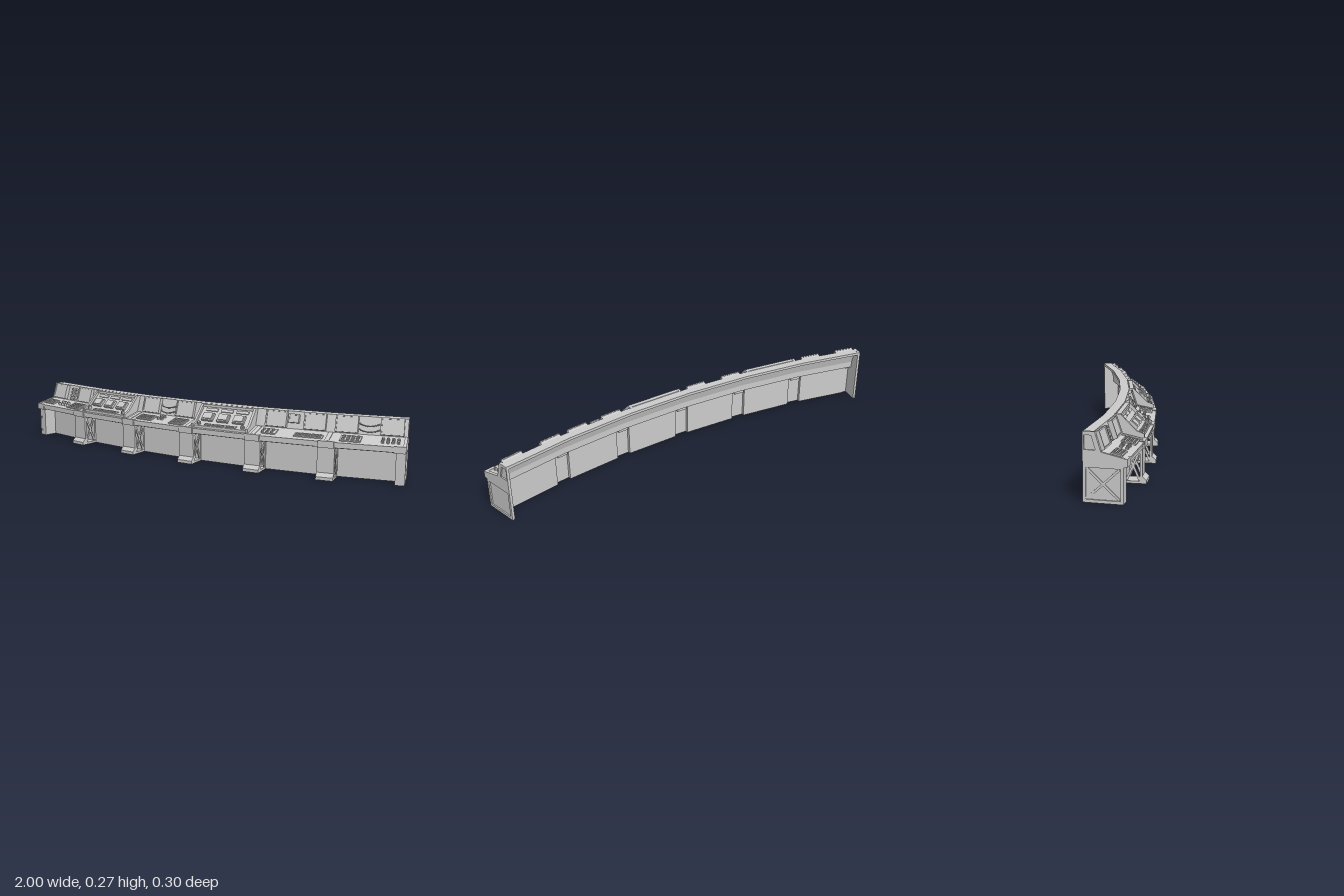
import * as THREE from 'three';

const R = 4.2, END = 0.2403 * R, SEG = END / 3;
const mat = new THREE.MeshStandardMaterial({ color: 0xcccccc, flatShading: true, side: THREE.DoubleSide });

// Parts are laid out straight (x along the desk, z = 0 at the desk edge), then bent round an arc.
function add(group, name, geo) {
  const g = geo.index ? geo.toNonIndexed() : geo;
  const p = g.attributes.position;
  for (let i = 0; i < p.count; i++) {
    const a = p.getX(i) / R, r = R + p.getZ(i);
    p.setXYZ(i, r * Math.sin(a), p.getY(i), r * Math.cos(a) - R + 0.135);
  }
  g.computeVertexNormals();
  const m = new THREE.Mesh(g, mat);
  m.name = name;
  group.add(m);
}

function box(group, name, [w, h, d], [x, y, z], tilt = 0) {
  add(group, name, new THREE.BoxGeometry(w, h, d).rotateX(tilt).translate(x, y, z));
}

function knob(group, name, r, h, [x, y, z], tilt = 0) {
  add(group, name, new THREE.CylinderGeometry(r * 0.85, r, h, 10).rotateX(tilt).translate(x, y, z));
}

// Side profile of [z, y] points swept from x0 to x1
function prism(group, name, pts, x0, x1, holes = []) {
  const v = (l) => l.map(([a, b]) => new THREE.Vector2(a, b));
  const s = new THREE.Shape(v(pts));
  holes.forEach((h) => s.holes.push(new THREE.Path(v(h))));
  const g = new THREE.ExtrudeGeometry(s, { depth: x1 - x0, bevelEnabled: false });
  add(group, name, g.rotateY(-Math.PI / 2).translate(x1, 0, 0));
}

// Crossed bars filling a rectangle in the side plane
function cross(group, x, z, y, d, h, t) {
  const a = Math.atan2(d, h), len = Math.hypot(d, h);
  for (const k of [-1, 1]) box(group, 'crossBrace', [t, len, 0.009], [x, y, z], k * a);
}

const DESK = Math.atan2(0.022, 0.1), BACK = -Math.atan2(0.025, 0.075);
const deskY = (z) => 0.168 - z * 0.22;
const SLOPE = -Math.atan2(0.077, 0.067);

// Large display leaning on the back panel
function monitor(g, x, w = 0.102, h = 0.074, y = 0.229) {
  const z = -0.1 - (y - 0.19) / 3;
  box(g, 'monitorBody', [w, h, 0.014], [x, y, z + 0.005], BACK);
  const s = Math.sin(-BACK) * 0.014, c = Math.cos(BACK) * 0.014;
  for (const k of [-1, 1]) {
    box(g, 'monitorBezelSide', [0.006, h, 0.005], [x + k * (w / 2 - 0.003), y + s, z + c], BACK);
    const dy = k * (h / 2 - 0.003);
    box(g, 'monitorBezelRail', [w - 0.012, 0.006, 0.005],
      [x, y + s + dy * Math.cos(BACK), z + c + dy * Math.sin(BACK)], BACK);
  }
}

// Flat control plate with a grid of keys
function keyPlate(g, x, z, w, d, nx, nz) {
  box(g, 'controlPlate', [w, 0.006, d], [x, deskY(z) + 0.002, z], DESK);
  for (let i = 0; i < nx; i++) for (let j = 0; j < nz; j++) {
    const kz = z + ((j + 0.5) / nz - 0.5) * d * 0.9;
    box(g, 'key', [w / nx * 0.6, 0.006, d / nz * 0.55],
      [x + ((i + 0.5) / nx - 0.5) * w * 0.92, deskY(kz) + 0.006, kz], DESK);
  }
}

function dials(g, x, z, n) {
  for (let i = 0; i < n; i++) for (const k of [-1, 1]) {
    const dz = z + k * 0.012;
    knob(g, 'dial', 0.007, 0.014, [x + (i - (n - 1) / 2) * 0.022, deskY(dz) + 0.005, dz], DESK);
  }
}

function wallButtons(g, x) {
  for (let i = 0; i < 2; i++) for (let j = 0; j < 4; j++) {
    const y = 0.2 + j * 0.016;
    knob(g, 'wallButton', 0.007, 0.014, [x + (i - 0.5) * 0.026, y, -0.1 - (y - 0.19) / 3], Math.PI / 2 + BACK);
  }
}

function wallHandles(g, x) {
  for (const y of [0.208, 0.232]) {
    const z = -0.1 - (y - 0.19) / 3;
    const c = new THREE.CatmullRomCurve3([[-0.045, 0.004, -0.002], [-0.035, 0.002, 0.012], [0, -0.004, 0.015],
      [0.035, 0.002, 0.012], [0.045, 0.004, -0.002]].map(([a, b, d]) => new THREE.Vector3(x + a, y + b, z + d)));
    add(g, 'wallHandle', new THREE.TubeGeometry(c, 12, 0.003, 6));
  }
}

// Raised sloping console with three small screens
function raisedConsole(g, c) {
  const inner = [[-0.012, 0.16], [-0.012, 0.182], [-0.04, 0.188], [-0.112, 0.255], [-0.13, 0.255], [-0.1, 0.18]];
  const cheek = [[-0.006, 0.16], [-0.006, 0.188], [-0.037, 0.2], [-0.104, 0.266], [-0.13, 0.266], [-0.1, 0.18]];
  prism(g, 'consoleBody', inner, c - 0.135, c + 0.135);
  for (const k of [-1, 1]) prism(g, 'consoleCheek', cheek, c + k * 0.138 - 0.006, c + k * 0.138 + 0.006);
  box(g, 'consoleTopBar', [0.27, 0.012, 0.02], [c, 0.259, -0.112]);
  for (let i = -1; i <= 1; i++) {
    const x = c + i * 0.08;
    box(g, 'smallScreen', [0.056, 0.012, 0.042], [x, 0.217, -0.056], -SLOPE * 0.85);
    box(g, 'smallScreenGlass', [0.044, 0.004, 0.03], [x, 0.223, -0.051], -SLOPE * 0.85);
    box(g, 'screenVent', [0.062, 0.005, 0.014], [x, 0.243, -0.096], -SLOPE);
  }
  for (let i = 0; i < 10; i++) for (let j = 0; j < 2; j++)
    box(g, 'consoleKey', [0.012, 0.006, 0.007], [c - 0.075 + i * 0.0165, 0.186 + j * 0.002, -0.02 - j * 0.01], DESK);
  for (const k of [-1, 1]) knob(g, 'consoleDial', 0.009, 0.018, [c + k * 0.112, 0.19, -0.025], DESK);
}

// Pedestal with a splayed foot and open crossed sides
function support(g, x) {
  const w = 0.038;
  prism(g, 'foot', [[0.013, 0], [0.013, 0.014], [-0.004, 0.03], [-0.014, 0.03], [-0.016, 0.01], [-0.078, 0.01], [-0.078, 0]], x - w, x + w);
  box(g, 'frontColumn', [2 * w, 0.115, 0.01], [x, 0.0855, -0.009]);
  box(g, 'rearColumn', [2 * w, 0.135, 0.01], [x, 0.0745, -0.073]);
  box(g, 'topRail', [2 * w, 0.01, 0.07], [x, 0.138, -0.04]);
  for (const k of [-1, 1]) cross(g, x + k * (w - 0.004), -0.041, 0.073, 0.052, 0.12, 0.006);
  box(g, 'deskJointCap', [0.07, 0.03, 0.02], [x, 0.157, -0.005]);
  box(g, 'deskJointStrip', [0.02, 0.004, 0.09], [x, deskY(-0.05) + 0.001, -0.05], DESK);
  box(g, 'rearBracket', [0.05, 0.02, 0.02], [x, 0.148, -0.088]);
}

function endPanel(g, k) {
  const outline = [[-0.012, 0], [-0.012, 0.138], [0, 0.142], [0, 0.17], [-0.02, 0.175], [-0.097, 0.192],
    [-0.12, 0.266], [-0.167, 0.266], [-0.167, 0]];
  const lower = [[-0.024, 0.012], [-0.155, 0.012], [-0.155, 0.132], [-0.024, 0.132]];
  const upper = [[-0.112, 0.198], [-0.162, 0.198], [-0.162, 0.252], [-0.128, 0.252]];
  const span = (a, b) => (k > 0 ? [a, b] : [-b, -a]);
  prism(g, 'endFrame', outline, ...span(END - 0.006, END), [lower, upper]);
  prism(g, 'endPlate', outline, ...span(END - 0.013, END - 0.006));
  box(g, 'endLeg', [0.035, 0.14, 0.075], [k * (END - 0.024), 0.07, -0.05]);
  box(g, 'endDeskCap', [0.05, 0.03, 0.014], [k * (END - 0.025), 0.156, -0.004]);
  if (k < 0) cross(g, -END + 0.004, -0.09, 0.072, 0.125, 0.115, 0.004);
}

export function createModel() {
  const root = new THREE.Group();
  root.name = 'controlDesk';
  const section = (name) => {
    const g = new THREE.Group();
    g.name = name;
    root.add(g);
    return g;
  };
  // Desk, leaning back panel and overhanging top shelf, open behind
  const shell = [[0, 0.144], [0, 0.168], [-0.1, 0.19], [-0.125, 0.265], [-0.167, 0.265], [-0.167, 0.252],
    [-0.134, 0.252], [-0.115, 0.19], [-0.115, 0.16], [-0.012, 0.14]];
  const bays = [];
  for (let i = 0; i < 6; i++) {
    const g = section('deskBay' + (i + 1)), c = (i - 2.5) * SEG;
    prism(g, 'deskShell', shell, c - SEG / 2, c + SEG / 2);
    box(g, 'frontTrim', [SEG - 0.075, 0.008, 0.006], [c, 0.165, 0]);
    box(g, 'kneePanel', [SEG - 0.07, 0.146, 0.016], [c, 0.073, -0.084]);
    bays.push([g, c]);
  }

  // Bays with large displays
  for (const i of [0, 2, 4, 5]) {
    const [g, c] = bays[i];
    for (const k of [-1, 1]) monitor(g, c + k * (i === 4 ? 0.092 : 0.1));
    if (i === 0) wallButtons(g, c);
    else if (i === 4) monitor(g, c - 0.008, 0.05, 0.038, 0.235);
    else wallHandles(g, c);
  }
  for (const i of [1, 3]) raisedConsole(...bays[i]);

  // Desktop controls
  const [b1, c1] = bays[0], [b3, c3] = bays[2], [b5, c5] = bays[4], [b6, c6] = bays[5];
  keyPlate(b1, c1 - 0.105, -0.045, 0.08, 0.045, 5, 3);
  dials(b1, c1, -0.045, 3);
  keyPlate(b1, c1 + 0.1, -0.045, 0.09, 0.06, 4, 4);
  keyPlate(b3, c3 - 0.09, -0.045, 0.09, 0.05, 5, 3);
  dials(b3, c3 - 0.01, -0.06, 2);
  keyPlate(b3, c3 + 0.1, -0.045, 0.08, 0.06, 4, 4);
  dials(b5, c5 - 0.11, -0.045, 3);
  box(b5, 'deskScreen', [0.06, 0.01, 0.05], [c5 - 0.1, deskY(-0.05), -0.05], DESK);
  keyPlate(b5, c5 + 0.08, -0.04, 0.13, 0.03, 10, 2);
  keyPlate(b6, c6 - 0.07, -0.045, 0.09, 0.055, 4, 3);
  dials(b6, c6 + 0.1, -0.045, 4);

  for (let i = -2; i <= 2; i++) support(section('support' + (i + 3)), i * SEG);
  for (const k of [-1, 1]) endPanel(section(k > 0 ? 'leftEnd' : 'rightEnd'), k);
  return root;
}
